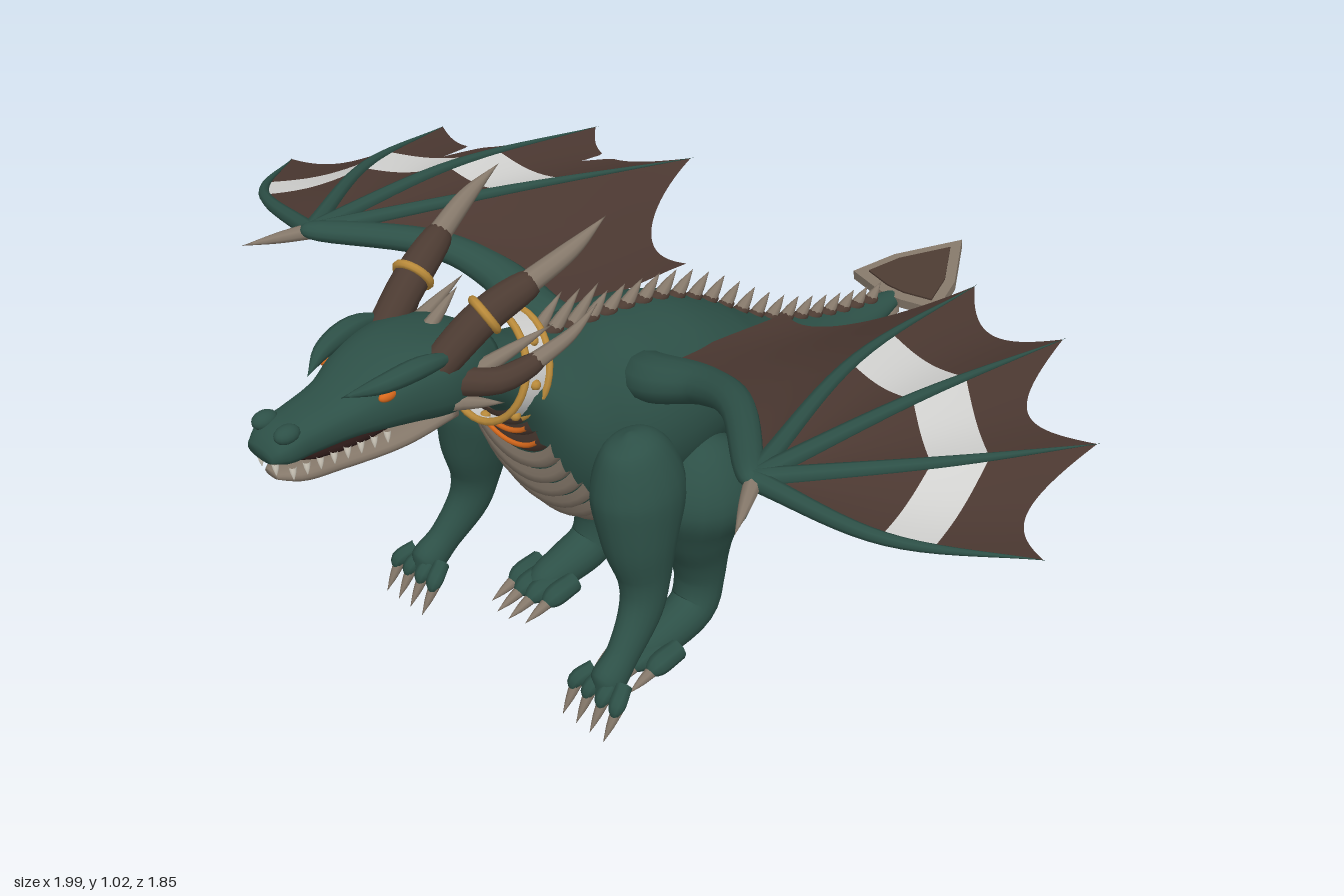
import * as THREE from 'three';
import { mergeGeometries, mergeVertices } from 'three/addons/utils/BufferGeometryUtils.js';

const V = (x, y, z) => new THREE.Vector3(x, y, z);
const paint = (name, color, side = THREE.FrontSide) => {
  const m = new THREE.MeshStandardMaterial({ color, side });
  m.name = name;
  return m;
};

// Grid surface from a rule f(u, v)
function surface(f, nu, nv) {
  const pos = [], idx = [];
  for (let i = 0; i <= nu; i++) for (let j = 0; j <= nv; j++) pos.push(...f(i / nu, j / nv).toArray());
  for (let i = 0; i < nu; i++) for (let j = 0; j < nv; j++) {
    const a = i * (nv + 1) + j, b = a + nv + 1;
    idx.push(a, b, b + 1, a, b + 1, a + 1);
  }
  let g = new THREE.BufferGeometry();
  g.setAttribute('position', new THREE.Float32BufferAttribute(pos, 3));
  g.setIndex(idx);
  g = mergeVertices(g, 1e-5);
  g.computeVertexNormals();
  return g;
}

// Tapered limb through points [x, y, z, radius]
function limb(pts, nu = 24, nv = 12, flat = 1, ref = V(1, 0, 0)) {
  const path = new THREE.CatmullRomCurve3(pts.map(p => V(p[0], p[1], p[2])), false, 'catmullrom');
  const rad = new THREE.CatmullRomCurve3(pts.map(p => V(p[3], 0, 0)), false, 'catmullrom');
  return surface((u, v) => {
    const t = path.getTangent(u), r = Math.max(0, rad.getPoint(u).x), a = v * Math.PI * 2;
    const n = ref.clone().addScaledVector(t, -t.dot(ref)).normalize();
    const b = V(0, 0, 0).crossVectors(t, n);
    return path.getPoint(u).addScaledVector(n, r * flat * Math.cos(a)).addScaledVector(b, -r * Math.sin(a));
  }, nu, nv);
}

// Smooth hull from sections [z, top, bottom, halfWidth], z ascending
function hull(sections, pow = 1) {
  const zs = sections.map(s => s[0]);
  const interp = new THREE.CubicInterpolant(zs, sections.flatMap(s => s.slice(1)), 3, new Float32Array(3));
  const z0 = zs[0], z1 = zs[zs.length - 1];
  const at = z => [...interp.evaluate(Math.min(z1, Math.max(z0, z)))];
  const bend = c => Math.sign(c) * Math.abs(c) ** pow;
  const point = (z, a) => {
    const [top, bot, w] = at(z);
    return V(w * bend(Math.cos(a)), (top + bot) / 2 - (top - bot) / 2 * bend(Math.sin(a)), z);
  };
  const geometry = (nu, nv) => surface((u, v) => {
    // first and last rows close the ends
    const k = Math.min(1, Math.max(0, (u * nu - 1) / (nu - 2))), z = z0 + (z1 - z0) * k;
    if (u === 0 || u === 1) { const [t, b] = at(z); return V(0, (t + b) / 2, z); }
    return point(z, v * Math.PI * 2);
  }, nu, nv);
  return { at, point, geometry };
}

export function createModel() {
  const root = new THREE.Group();
  root.name = 'dragon';
  const green = paint('green hide', 0x2d5047), brown = paint('dark brown', 0x4c3b32, THREE.DoubleSide);
  const membrane = paint('wing membrane', 0x4b3831, THREE.DoubleSide), white = paint('pale band', 0xd2d2d0, THREE.DoubleSide);
  const beige = paint('horn beige', 0x85786a, THREE.DoubleSide), gold = paint('gold', 0xb98a3a);
  const orange = paint('orange', 0xd8691c), tooth = paint('tooth', 0xe6dfd0), dark = paint('mouth', 0x2a1816);
  const add = (name, g, m) => {
    const mesh = new THREE.Mesh(g, m);
    mesh.name = name;
    root.add(mesh);
    return mesh;
  };
  const ball = (name, m, x, y, z, sx, sy, sz) => {
    const b = add(name, new THREE.SphereGeometry(1, 14, 10), m);
    b.position.set(x, y, z);
    b.scale.set(sx, sy, sz);
  };
  const spike = (name, a, b, r, m = beige) => {
    const mid = a.map((c, i) => (c + b[i]) / 2);
    add(name, limb([[...a, r], [...mid, r * 0.65], [...b, 0]], 6, 8), m);
  };

  // Body, neck and tail in one hull
  const body = hull([
    [-0.72, 0.41, 0.39, 0.015], [-0.6, 0.425, 0.36, 0.042], [-0.5, 0.445, 0.35, 0.06], [-0.4, 0.475, 0.355, 0.08],
    [-0.3, 0.515, 0.367, 0.105], [-0.2, 0.575, 0.38, 0.138], [-0.12, 0.63, 0.378, 0.16], [0, 0.69, 0.36, 0.18],
    [0.12, 0.715, 0.338, 0.19], [0.25, 0.73, 0.33, 0.182], [0.32, 0.745, 0.385, 0.168], [0.37, 0.76, 0.475, 0.138],
    [0.4, 0.775, 0.57, 0.108], [0.44, 0.795, 0.64, 0.09], [0.5, 0.83, 0.68, 0.083], [0.58, 0.855, 0.7, 0.08]]);
  add('body', body.geometry(110, 32), green);

  // Overlapping belly plates follow the underside
  const raised = (z, a, off) => {
    const e = 0.002, dz = body.point(z + e, a).sub(body.point(z - e, a));
    const n = dz.cross(body.point(z, a + e).sub(body.point(z, a - e))).normalize();
    return body.point(z, a).addScaledVector(n, off);
  };
  const plate = (z0, z1, half, lift) => surface((u, v) =>
    raised(z1 + (z0 - z1) * u, Math.PI / 2 + (v - 0.5) * 2 * half, [0, lift, lift * 0.7, 0.003][Math.round(u * 3)]), 3, 14);
  const plates = [];
  for (let z = 0.388; z > -0.65;) {
    const next = z - Math.min(0.045, 0.012 + (0.388 - z) * 0.25);
    plates.push(plate(z, next, 1.0, 0.013));
    z = next;
  }
  add('belly plates', mergeGeometries(plates), beige);
  add('throat plates', mergeGeometries([0.388, 0.402, 0.418, 0.436].map(z => plate(z + 0.016, z, 0.85, 0.01))), brown);
  [0.396, 0.414].forEach(z => {
    const arc = [];
    for (let i = 0; i <= 8; i++) arc.push(raised(z, Math.PI / 2 + (i / 4 - 1) * 0.8, 0.011));
    add('throat trim', new THREE.TubeGeometry(new THREE.CatmullRomCurve3(arc), 20, 0.005, 6), orange);
  });

  // Spines along the back
  for (let z = 0.33; z > -0.64; z -= 0.045) {
    const y = body.at(z)[0], h = z > 0.2 ? 0.075 : 0.05 - 0.02 * Math.max(0, -z);
    ball('spine base', brown, 0, y, z, 0.015, 0.012, 0.022);
    spike('back spine', [0, y - 0.005, z + 0.005], [0, y + h * 0.8, z - h * 0.9], 0.015);
  }

  // Arrow-shaped tail blade
  const blade = (name, k, depth, m) => {
    const pts = [[0.03, 0], [0.117, 0.02], [0.085, 0.12], [0, 0.25], [-0.085, 0.12], [-0.117, 0.02], [-0.03, 0]];
    const shape = new THREE.Shape(pts.map(p => new THREE.Vector2(p[0] * k, 0.09 + (p[1] - 0.09) * k)));
    const g = new THREE.ExtrudeGeometry(shape, { depth, bevelEnabled: false }).translate(0, 0, -depth / 2).rotateX(-Math.PI / 2);
    const b = add(name, g, m);
    b.position.set(0, 0.4, -0.68);
    b.rotation.x = 0.15;
  };
  blade('tail blade', 1, 0.022, beige);
  blade('tail blade panel', 0.75, 0.03, brown);

  // Head, jaw and mouth
  add('head', hull([[0.46, 0.82, 0.71, 0.06], [0.53, 0.862, 0.715, 0.098], [0.6, 0.878, 0.722, 0.112],
    [0.66, 0.878, 0.735, 0.104], [0.72, 0.862, 0.745, 0.088], [0.77, 0.838, 0.75, 0.068], [0.85, 0.822, 0.752, 0.054],
    [0.9, 0.812, 0.755, 0.05], [0.925, 0.79, 0.765, 0.034]], 0.8).geometry(40, 28), green);
  add('lower jaw', hull([[0.56, 0.73, 0.695, 0.06], [0.68, 0.728, 0.693, 0.066], [0.8, 0.732, 0.698, 0.05],
    [0.88, 0.738, 0.71, 0.038], [0.908, 0.735, 0.722, 0.018]], 0.8).geometry(24, 20), beige);
  ball('mouth', dark, 0, 0.742, 0.74, 0.045, 0.018, 0.13);
  spike('crest', [0, 0.86, 0.57], [0, 0.915, 0.5], 0.014);

  // Collar with gold rims and studs
  const collar = new THREE.Group();
  collar.name = 'collar';
  collar.position.set(0, 0.725, 0.42);
  collar.rotation.x = 1.23;
  collar.add(new THREE.Mesh(new THREE.CylinderGeometry(0.1, 0.101, 0.055, 32, 1, true), white));
  [-0.028, 0.028].forEach(y => {
    const rim = new THREE.Mesh(new THREE.TorusGeometry(0.102, 0.007, 8, 36).rotateX(Math.PI / 2), gold);
    rim.position.y = y;
    collar.add(rim);
  });
  for (let i = 0; i < 8; i++) {
    const a = i * Math.PI / 4, stud = new THREE.Mesh(new THREE.SphereGeometry(0.01, 8, 6), gold);
    stud.position.set(0.101 * Math.sin(a), 0, 0.101 * Math.cos(a));
    collar.add(stud);
  }
  root.add(collar);

  for (const s of [1, -1]) {
    const m = pts => pts.map(([x, ...rest]) => [x * s, ...rest]);

    // Face details
    ball('eye', orange, 0.08 * s, 0.832, 0.722, 0.009, 0.01, 0.018);
    ball('nostril', green, 0.03 * s, 0.812, 0.89, 0.018, 0.016, 0.024);
    add('brow', limb(m([[0.045, 0.842, 0.79, 0], [0.078, 0.856, 0.73, 0.016], [0.092, 0.864, 0.65, 0.018], [0.09, 0.85, 0.56, 0]]), 14, 8), green);
    for (let i = 0; i < 8; i++) {
      const z = 0.72 + i * 0.025, x = s * (0.068 - i * 0.0035);
      spike('upper tooth', [x, 0.758, z], [x, 0.73, z], 0.007, tooth);
    }
    spike('front tooth', [0.02 * s, 0.762, 0.912], [0.02 * s, 0.735, 0.912], 0.007, tooth);
    spike('cheek spike', [0.095 * s, 0.77, 0.6], [0.135 * s, 0.75, 0.52], 0.016);
    spike('ear spike', [0.09 * s, 0.8, 0.56], [0.12 * s, 0.845, 0.39], 0.018);

    // Large and side horns, dark at the root
    add('horn root', limb(m([[0.07, 0.82, 0.63, 0.03], [0.092, 0.9, 0.53, 0.033], [0.118, 0.945, 0.44, 0.025], [0.12, 0.947, 0.435, 0]]), 14, 12), brown);
    add('horn tip', limb(m([[0.114, 0.94, 0.455, 0.022], [0.135, 0.984, 0.36, 0.016], [0.138, 1.02, 0.28, 0]]), 12, 10), beige);
    const ring = add('horn ring', new THREE.TorusGeometry(0.032, 0.008, 8, 20), gold);
    ring.position.set(0.094 * s, 0.907, 0.52);
    ring.quaternion.setFromUnitVectors(V(0, 0, 1), V(0.25 * s, 0.5, -0.85).normalize());
    add('side horn root', limb(m([[0.08, 0.8, 0.59, 0.026], [0.135, 0.8, 0.53, 0.024], [0.165, 0.825, 0.47, 0.017], [0.167, 0.827, 0.465, 0]]), 12, 10), brown);
    add('side horn tip', limb(m([[0.16, 0.82, 0.48, 0.017], [0.185, 0.86, 0.41, 0.011], [0.19, 0.9, 0.35, 0]]), 10, 8), beige);

    // Front leg and hand
    add('front leg', limb(m([[0.21, 0.62, 0.3, 0], [0.212, 0.59, 0.295, 0.062], [0.215, 0.5, 0.285, 0.095], [0.228, 0.4, 0.293, 0.078],
      [0.238, 0.31, 0.292, 0.054], [0.245, 0.245, 0.31, 0.045], [0.255, 0.18, 0.365, 0.035], [0.26, 0.14, 0.415, 0.036], [0.26, 0.125, 0.44, 0]]), 40, 18, 0.85), green);
    for (let i = 0; i < 4; i++) {
      const d = (i - 1.5) * 0.026, x = (0.26 + d) * s, k = (0.26 + d * 1.4) * s;
      add('finger', limb([[x, 0.15, 0.405, 0.016], [k, 0.13, 0.44, 0.016], [k, 0.105, 0.45, 0]], 8, 8), green);
      spike('finger claw', [k, 0.125, 0.437], [k, 0.068, 0.475], 0.012);
    }

    // Hind leg and foot
    add('hind leg', limb(m([[0.15, 0.485, 0.06, 0], [0.155, 0.45, 0.063, 0.07], [0.16, 0.36, 0.068, 0.112], [0.155, 0.28, 0.068, 0.086],
      [0.148, 0.2, 0.055, 0.063], [0.145, 0.13, 0.05, 0.052], [0.147, 0.07, 0.07, 0.05], [0.15, 0.046, 0.14, 0.045],
      [0.15, 0.035, 0.21, 0.034], [0.15, 0.03, 0.245, 0]]), 40, 18, 0.95), green);
    for (let i = 0; i < 4; i++) {
      const x = (0.15 + (i - 1.5) * 0.034) * s, z = i % 3 ? 0.25 : 0.235;
      add('toe', limb([[x, 0.04, z - 0.07, 0.022], [x, 0.032, z - 0.01, 0.022], [x, 0.02, z + 0.02, 0]], 8, 8), green);
      spike('toe claw', [x, 0.028, z], [x, 0.008, z + 0.065], 0.013);
    }
    spike('heel claw', [0.147 * s, 0.06, 0.03], [0.147 * s, 0.08, -0.005], 0.014);

    // Wing arm, thumb and fingers
    const up = V(0, 1, 0), w = [0.585, 0.752, 0.388];
    add('wing arm', limb(m([[0.1, 0.64, 0.16, 0.05], [0.16, 0.66, 0.185, 0.055], [0.28, 0.695, 0.178, 0.042], [0.41, 0.735, 0.235, 0.032],
      [0.57, 0.754, 0.378, 0.024], [0.6, 0.752, 0.4, 0]]), 30, 12, 0.8, up), green);
    spike('wing thumb claw', [0.585 * s, 0.75, 0.38], [0.655 * s, 0.735, 0.5], 0.017);
    const curve = pts => new THREE.CatmullRomCurve3(m(pts).map(p => V(...p)), false, 'catmullrom');
    const ribs = [
      [w, [0.82, 0.725, 0.33], [0.995, 0.672, 0.135]], [w, [0.755, 0.735, 0.12], [0.87, 0.682, -0.185]],
      [w, [0.615, 0.745, 0.0], [0.625, 0.685, -0.42]], [w, [0.455, 0.74, -0.02], [0.38, 0.678, -0.47]]];
    ribs.forEach(p => add('wing finger', limb(m(p.map((q, i) => [...q, [0.018, 0.011, 0][i]])), 18, 8, 1, up), green));
    const curves = [...ribs, [w, [0.4, 0.72, 0.22], [0.15, 0.66, 0.14], [0.135, 0.625, -0.21]]].map(curve);

    // Membrane panels with scalloped edges and a pale band
    const skin = [], band = [];
    for (let i = 0; i < 4; i++) {
      const depth = [0.13, 0.17, 0.1, 0.1][i], tear = s < 0 ? [0, 0.14, 0.08, 0][i] : 0;
      const edge = t => 0.985 - depth * 4 * t * (1 - t) - tear * Math.max(0, 1 - Math.abs(t - 0.45) / 0.06);
      const strip = (r0, r1) => surface((u, t) => {
        const r = r0(t) + (r1(t) - r0(t)) * u, p = curves[i].getPoint(r).lerp(curves[i + 1].getPoint(r), t);
        p.y -= 0.025 * Math.sin(Math.PI * t) * r;
        return p;
      }, 8, 40);
      const a = () => 0.48, b = () => 0.65;
      skin.push(strip(() => 0, a), strip(b, edge));
      (i < 3 ? band : skin).push(strip(a, b));
    }
    add('wing membrane', mergeGeometries(skin), membrane);
    add('wing band', mergeGeometries(band), white);
  }
  return root;
}
